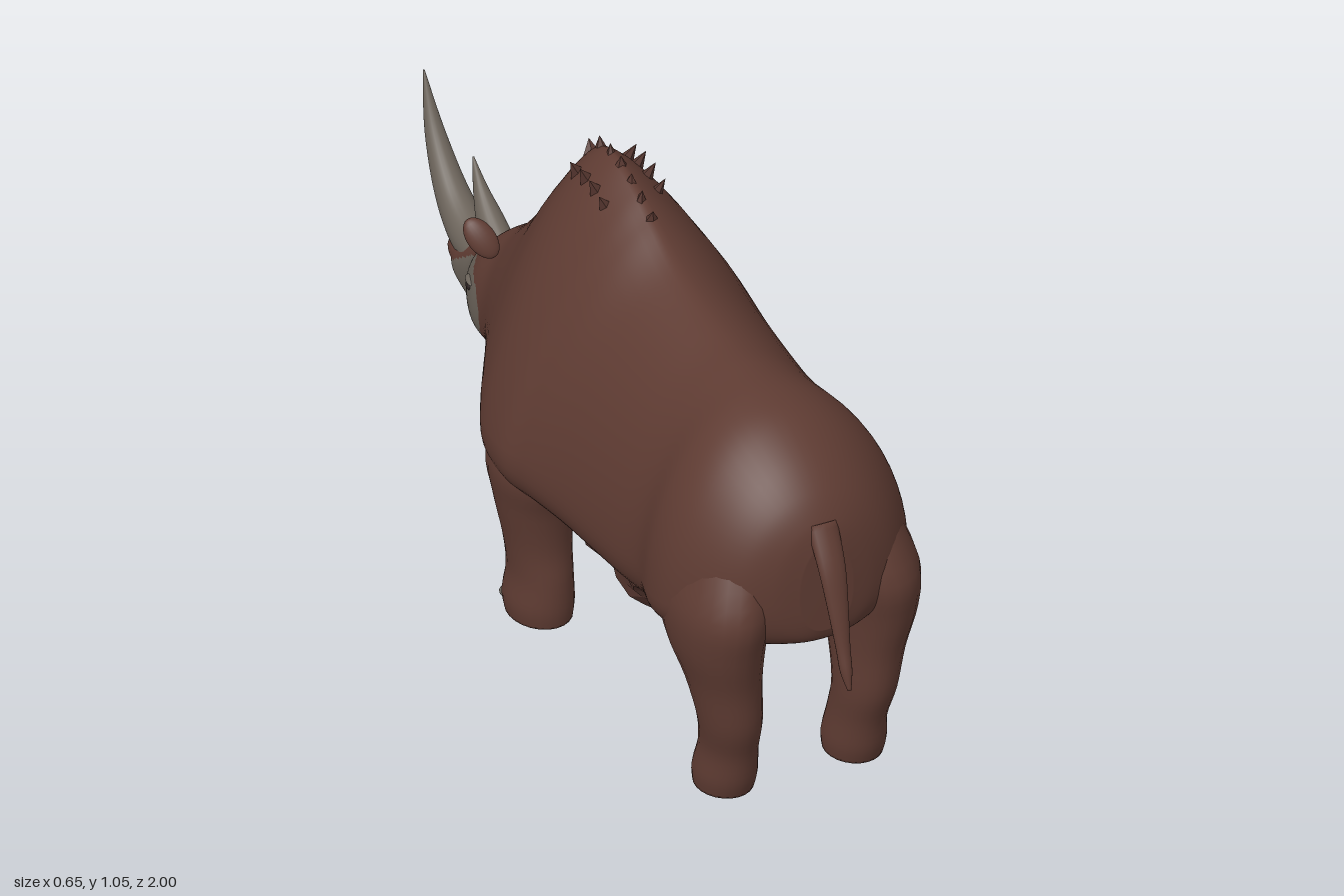
import * as THREE from 'three';

const mat = (name, color, extra = {}) => {
  const m = new THREE.MeshStandardMaterial({ color, ...extra });
  m.name = name;
  return m;
};

// Seeded noise for ragged fur
const noise = (i) => {
  const s = Math.sin(i * 127.1 + 11.7) * 43758.5453;
  return s - Math.floor(s);
};

// Catmull-Rom resampling of rows of numbers
function resample(rows, count) {
  const out = [];
  for (let i = 0; i <= count; i++) {
    const f = (i / count) * (rows.length - 1);
    const k = Math.min(Math.floor(f), rows.length - 2), t = f - k;
    const [a, b, c, d] = [-1, 0, 1, 2].map((o) => rows[Math.max(0, Math.min(rows.length - 1, k + o))]);
    out.push(b.map((v, j) => v + 0.5 * t * (c[j] - a[j] + t * (2 * a[j] - 5 * v + 4 * c[j] - d[j]
      + t * (3 * (v - c[j]) + d[j] - a[j])))));
  }
  return out;
}

// Skin closed rings of [x, y, z] points; isAlt(x, y, z) sends a face to the second material
function loft(rings, isAlt) {
  const n = rings[0].length, pos = [], faces = [[], []];
  rings.forEach((r) => r.forEach((p) => pos.push(...p)));
  const add = (...ids) => {
    const c = [0, 1, 2].map((j) => ids.reduce((s, i) => s + pos[i * 3 + j], 0) / 3);
    faces[isAlt && isAlt(...c) ? 1 : 0].push(...ids);
  };
  for (let i = 0; i < rings.length - 1; i++) {
    for (let k = 0; k < n; k++) {
      const a = i * n + k, b = i * n + (k + 1) % n;
      add(a, b, b + n);
      add(a, b + n, a + n);
    }
  }
  [0, rings.length - 1].forEach((r, end) => {
    const id = pos.length / 3;
    pos.push(...[0, 1, 2].map((j) => rings[r].reduce((s, p) => s + p[j], 0) / n));
    for (let k = 0; k < n; k++) {
      const a = r * n + k, b = r * n + (k + 1) % n;
      if (end) add(id, a, b); else add(id, b, a);
    }
  });
  const g = new THREE.BufferGeometry();
  g.setAttribute('position', new THREE.Float32BufferAttribute(pos, 3));
  g.setIndex([...faces[0], ...faces[1]]);
  if (isAlt) {
    g.addGroup(0, faces[0].length, 0);
    g.addGroup(faces[0].length, faces[1].length, 1);
  }
  g.computeVertexNormals();
  return g;
}

const around = (n, fn) => Array.from({ length: n }, (_, k) => fn((k / n) * Math.PI * 2, k));
const pw = (v, e) => Math.sign(v) * Math.abs(v) ** e;

// Cross-section across z: [z, top, widest height, bottom, half width, upper exponent]
function section([z, top, mid, bottom, w, e], n, low = 2.4) {
  return around(n, (t) => {
    const c = Math.cos(t), s = Math.sin(t), p = 2 / (s >= 0 ? e : low);
    return [-w * pw(c, p), mid + (s >= 0 ? top - mid : mid - bottom) * pw(s, p), z];
  });
}

// Tapered sweep in the middle plane: [y, z, half width, half thickness]
function sweep(rows, n = 16) {
  const r = resample(rows, 24);
  return loft(r.map(([y, z, rx, rn], i) => {
    const a = r[Math.max(0, i - 1)], b = r[Math.min(r.length - 1, i + 1)];
    const l = Math.hypot(b[0] - a[0], b[1] - a[1]), ty = (b[0] - a[0]) / l, tz = (b[1] - a[1]) / l;
    return around(n, (t) => [rx * Math.cos(t), y + tz * rn * Math.sin(t), z - ty * rn * Math.sin(t)]);
  }));
}

// Leg rising in y: [y, x, z, half width, half depth]
const leg = (rows, side) => loft(resample(rows, 28).map(([y, x, z, rx, rz]) => around(24, (t) =>
  [side * x + rx * Math.cos(t), y, z - rz * Math.sin(t)])));

export function createModel() {
  const hide = mat('brown fur', 0x5e3b32);
  const horn = mat('horn grey', 0x6b635a);
  const dark = mat('dark', 0x2a2020);
  const pink = mat('mouth', 0x7a4038);
  const shag = mat('shaggy fur', 0x573730, { flatShading: true });
  const model = new THREE.Group();
  const add = (name, geo, material, place = [0, 0, 0], scale = [1, 1, 1], rot = [0, 0, 0]) => {
    const m = new THREE.Mesh(geo, material);
    m.name = name;
    m.position.set(...place);
    m.scale.set(...scale);
    m.rotation.set(...rot);
    model.add(m);
    return m;
  };

  // Trunk, humped shoulder, neck and head in one skin
  const trunk = resample([
    [0.89, 0.66, 0.55, 0.45, 0.06, 2], [0.875, 0.71, 0.55, 0.42, 0.12, 2],
    [0.84, 0.765, 0.53, 0.40, 0.185, 2], [0.78, 0.82, 0.50, 0.38, 0.24, 2],
    [0.70, 0.865, 0.48, 0.36, 0.278, 2], [0.62, 0.885, 0.47, 0.34, 0.283, 2],
    [0.52, 0.893, 0.47, 0.31, 0.26, 1.9], [0.40, 0.90, 0.46, 0.30, 0.268, 1.8],
    [0.20, 0.935, 0.46, 0.30, 0.288, 1.65], [0.08, 0.985, 0.46, 0.30, 0.308, 1.5],
    [0, 1.02, 0.46, 0.30, 0.325, 1.38], [-0.10, 1.045, 0.46, 0.29, 0.312, 1.35],
    [-0.18, 1.025, 0.47, 0.29, 0.275, 1.4], [-0.25, 0.945, 0.48, 0.30, 0.235, 1.5],
    [-0.32, 0.835, 0.48, 0.32, 0.195, 1.7], [-0.40, 0.74, 0.48, 0.34, 0.155, 1.9],
    [-0.47, 0.67, 0.47, 0.34, 0.13, 2], [-0.54, 0.615, 0.46, 0.34, 0.122, 2.2],
    [-0.60, 0.56, 0.45, 0.345, 0.10, 2.3], [-0.66, 0.51, 0.43, 0.34, 0.068, 2.3],
    [-0.72, 0.48, 0.41, 0.335, 0.055, 2.2], [-0.77, 0.455, 0.41, 0.355, 0.05, 2],
    [-0.80, 0.43, 0.41, 0.385, 0.03, 2]], 176);
  const isMask = (x, y, z) => (z < -0.6
    ? y < 0.54 - 0.7 * Math.max(0, -z - 0.58) && y > Math.min(0.356, 0.356 + 0.6 * (z + 0.62))
    : ((z + 0.6) / 0.115) ** 2 + ((y - 0.45) / 0.094) ** 2 < 1);
  add('body and head', loft(trunk.map((r) => section(r, 64)), isMask), [hide, horn]);

  // Lower jaw and mouth
  add('lower jaw', loft(resample([
    [-0.34, 0.42, 0.37, 0.33, 0.10, 2], [-0.48, 0.38, 0.345, 0.315, 0.085, 2],
    [-0.57, 0.35, 0.318, 0.29, 0.058, 2], [-0.63, 0.32, 0.302, 0.283, 0.042, 2],
    [-0.655, 0.305, 0.296, 0.288, 0.02, 2]], 24).map((r) => section(r, 24, 2))), hide);
  add('tongue', new THREE.SphereGeometry(1, 16, 10), pink, [0, 0.326, -0.60], [0.034, 0.012, 0.045], [-0.35, 0, 0]);

  // Ragged belly and chest fur
  const belly = resample([
    [0.62, 0.45, 0.40, 0.30, 0.16, 2], [0.5, 0.45, 0.39, 0.25, 0.215, 2],
    [0.34, 0.45, 0.38, 0.205, 0.225, 2], [0.16, 0.45, 0.38, 0.215, 0.215, 2],
    [0, 0.45, 0.38, 0.225, 0.17, 2], [-0.12, 0.45, 0.38, 0.25, 0.16, 2],
    [-0.25, 0.45, 0.38, 0.28, 0.15, 2], [-0.35, 0.45, 0.39, 0.325, 0.10, 2]], 44);
  add('belly fur', loft(belly.map((r, i) => section(r, 28, 1.7).map(([x, y, z], k) =>
    [x * (0.95 + 0.1 * noise(i * 31 + k)),
      y < 0.38 ? y - 0.045 * (noise(i * 17 + 3) * 0.6 + noise(i * 29 + k) * 0.5 - 0.4) : y, z]))), shag);

  // Tufts along the shoulder hump
  for (let i = 0; i < 7; i++) {
    const z = 0.06 - i * 0.045;
    const top = trunk.reduce((a, b) => (Math.abs(b[0] - z) < Math.abs(a[0] - z) ? b : a))[1];
    add('hump tuft', new THREE.ConeGeometry(0.05, 0.09, 5), shag, [0, top - 0.026, z], [1, 1, 0.7], [0.35 - i * 0.12, i, 0]);
    if (i > 1 && i < 6) {
      for (const s of [-1, 1]) {
        add('hump side tuft', new THREE.ConeGeometry(0.035, 0.08, 5), shag, [s * 0.058, top - 0.05, z], [1, 1, 0.7], [0.2, 0, -s * 0.5]);
      }
    }
  }

  // Tail
  add('tail', sweep([[0.70, 0.865, 0.035, 0.02], [0.62, 0.912, 0.031, 0.017], [0.54, 0.94, 0.024, 0.015],
    [0.45, 0.965, 0.016, 0.013], [0.40, 0.98, 0.013, 0.013], [0.36, 0.995, 0.004, 0.005]]), hide);

  // Horns
  add('front horn', sweep([[0.44, -0.69, 0.045, 0.045], [0.45, -0.78, 0.045, 0.047], [0.505, -0.87, 0.036, 0.037],
    [0.61, -0.95, 0.021, 0.021], [0.73, -1.0, 0.002, 0.002]], 24), horn);
  add('rear horn', sweep([[0.49, -0.635, 0.036, 0.045], [0.54, -0.69, 0.029, 0.033],
    [0.59, -0.733, 0.016, 0.018], [0.65, -0.768, 0.002, 0.002]], 24), horn);

  const ball = new THREE.SphereGeometry(1, 20, 14);
  for (const s of [-1, 1]) {
    // Legs
    add('front leg', leg([[0.01, 0.205, -0.048, 0.068, 0.086], [0.05, 0.206, -0.048, 0.072, 0.092],
      [0.12, 0.205, -0.043, 0.066, 0.087], [0.20, 0.21, -0.045, 0.07, 0.085], [0.30, 0.22, -0.045, 0.08, 0.10],
      [0.40, 0.225, -0.04, 0.088, 0.125], [0.52, 0.20, -0.04, 0.08, 0.10]], s), hide);
    add('hind leg', leg([[0.01, 0.15, 0.706, 0.062, 0.073], [0.05, 0.15, 0.713, 0.066, 0.08],
      [0.12, 0.15, 0.73, 0.06, 0.076], [0.20, 0.157, 0.75, 0.066, 0.082], [0.30, 0.167, 0.738, 0.077, 0.105],
      [0.40, 0.177, 0.72, 0.096, 0.146], [0.50, 0.17, 0.715, 0.104, 0.165], [0.62, 0.14, 0.70, 0.09, 0.13]], s), hide);

    // Toenails
    for (const a of [-0.6, 0, 0.6]) {
      add('toenail', ball, horn, [s * 0.205 + Math.sin(a) * 0.066, 0.024, -0.048 - Math.cos(a) * 0.082],
        [0.019, 0.015, 0.013], [0, a, 0]);
    }

    // Ears with dark hollows
    add('ear', ball, hide, [s * 0.125, 0.655, -0.478], [0.03, 0.05, 0.016], [-0.45, s * 0.3, -s * 0.45]);
    add('ear hollow', ball, dark, [s * 0.124, 0.658, -0.488], [0.02, 0.036, 0.009], [-0.45, s * 0.3, -s * 0.45]);

    // Eyes, brow folds and nostril patches
    add('eye', ball, dark, [s * 0.116, 0.49, -0.556], [0.006, 0.01, 0.014], [0, s * 0.25, 0]);
    add('eyelid', ball, horn, [s * 0.113, 0.501, -0.556], [0.009, 0.007, 0.022], [0, s * 0.25, 0]);
    add('nostril patch', ball, hide, [s * 0.034, 0.418, -0.775], [0.014, 0.024, 0.036], [0.4, 0, 0]);
  }
  return model;
}
